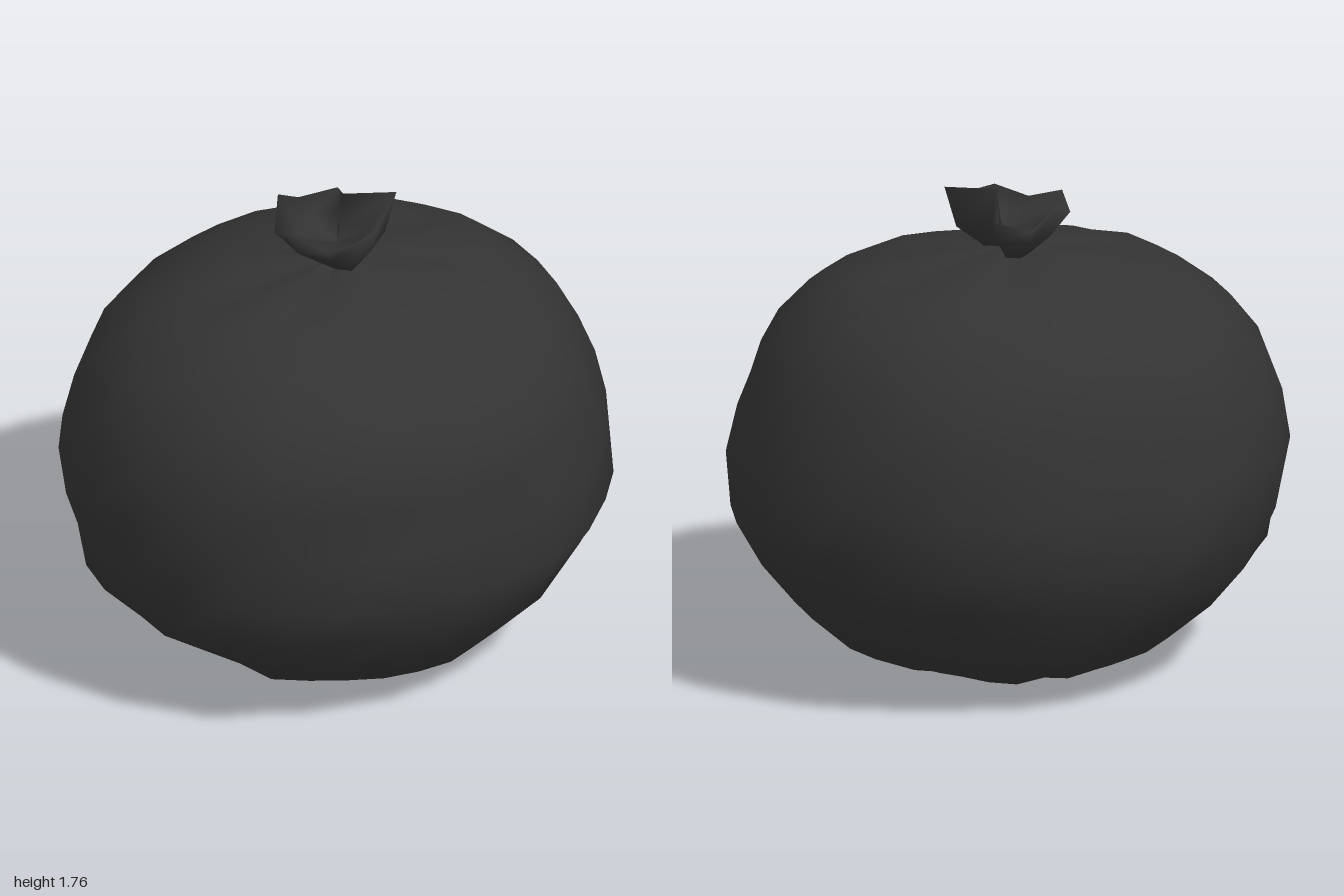
import * as THREE from 'three';

const material = new THREE.MeshStandardMaterial({ color: 0x333333, side: THREE.DoubleSide });

// Small seeded generator for the crumples
function seeded(seed) {
  return () => {
    seed = (seed * 16807) % 2147483647;
    return seed / 2147483647;
  };
}

// Skin a stack of closed rings, each a list of [x, y, z]
function loft(name, rings) {
  const n = rings[0].length;
  const index = [];
  for (let i = 0; i < rings.length - 1; i++) {
    for (let j = 0; j < n; j++) {
      const k = (j + 1) % n;
      const a = i * n + j, b = i * n + k, c = a + n, d = b + n;
      index.push(a, c, b, b, c, d);
    }
  }
  const geometry = new THREE.BufferGeometry();
  geometry.setAttribute('position', new THREE.Float32BufferAttribute(rings.flat(2), 3));
  geometry.setIndex(index);
  geometry.computeVertexNormals();
  const mesh = new THREE.Mesh(geometry, material);
  mesh.name = name;
  return mesh;
}

// Full sack: each row is height, then reach to -x, +x, +z and -z
function createSack() {
  const rows = [
    [0.03, 0, 0, 0, 0],
    [0.03, 0.25, 0.25, 0.22, 0.25],
    [0.07, 0.42, 0.44, 0.42, 0.47],
    [0.14, 0.6, 0.62, 0.61, 0.61],
    [0.28, 0.79, 0.79, 0.73, 0.72],
    [0.43, 0.92, 0.89, 0.83, 0.81],
    [0.6, 0.97, 0.985, 0.9, 0.9],
    [0.8, 0.995, 0.98, 0.88, 0.9],
    [0.98, 0.97, 0.945, 0.86, 0.86],
    [1.14, 0.92, 0.89, 0.85, 0.82],
    [1.28, 0.83, 0.81, 0.72, 0.73],
    [1.39, 0.7, 0.7, 0.59, 0.6],
    [1.46, 0.56, 0.59, 0.45, 0.48],
    [1.505, 0.38, 0.42, 0.32, 0.34],
    [1.53, 0.18, 0.2, 0.17, 0.17],
    [1.54, 0, 0, 0, 0],
  ];
  const random = seeded(41);
  const segments = 28;
  const rings = rows.map(([y, left, right, front, back]) => {
    const ring = [];
    for (let j = 0; j < segments; j++) {
      const angle = (j / segments) * Math.PI * 2;
      const c = Math.cos(angle), s = Math.sin(angle);
      const crumple = 1 + (random() - 0.5) * 0.035;
      // Folds gather towards the neck and the underside
      const gather = Math.max(0, Math.abs(y - 0.77) - 0.45) * 0.025;
      const fold = left === 0 ? 0 : gather * Math.sin(angle * 7 + y) + (random() - 0.5) * 0.016;
      ring.push([c * (c > 0 ? right : left) * crumple, y + fold, s * (s > 0 ? front : back) * crumple]);
    }
    return ring;
  });
  // One low crease that the sack rests on
  rings[1][3][1] = 0;
  return loft('sack', rings);
}

// Gathered top: an uneven torn rim above a pinched neck, hollow inside
function createTiedTop() {
  const rim = [
    [0.21, 1.76, 0.05], [0.07, 1.7, 0.16], [-0.02, 1.7, 0.2], [-0.13, 1.66, 0.15],
    [-0.22, 1.71, 0.04], [-0.22, 1.66, -0.06], [-0.14, 1.73, -0.18], [-0.03, 1.66, -0.23],
    [0.1, 1.69, -0.18], [0.04, 1.76, -0.03],
  ];
  const scaled = (sx, sz, y) => rim.map(([x, , z]) => [x * sx, y, z * sz]);
  return loft('tiedTop', [
    scaled(0.25, 0.5, 1.515),
    scaled(0.4, 0.65, 1.545),
    scaled(0.8, 0.9, 1.61),
    rim,
    scaled(0.6, 0.6, 1.64),
    scaled(0, 0, 1.59),
  ]);
}

export function createModel() {
  const group = new THREE.Group();
  group.name = 'tiedSack';
  group.add(createSack(), createTiedTop());
  return group;
}
